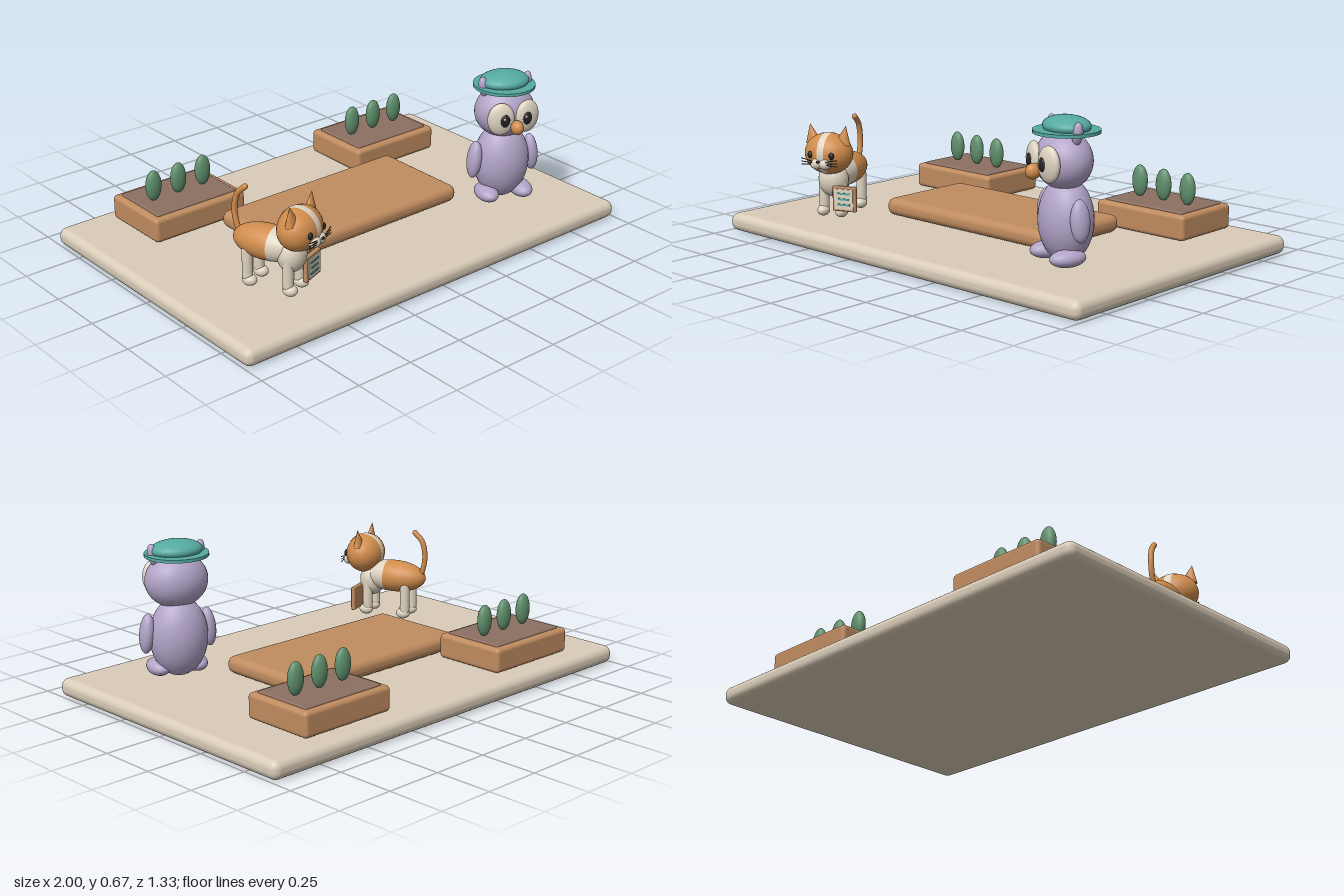
import * as THREE from 'three';
import { RoundedBoxGeometry } from 'three/addons/geometries/RoundedBoxGeometry.js';

const mat = (name, color, side = THREE.FrontSide) => {
  const m = new THREE.MeshStandardMaterial({ color, side });
  m.name = name;
  return m;
};

export function createModel() {
  const stone = mat('stone', 0xd9ccb8);
  const wood = mat('wood', 0xc08c60);
  const soil = mat('soil', 0x8c7062);
  const green = mat('plant green', 0x5f8f6c);
  const lilac = mat('lilac', 0xb2a4c8);
  const cream = mat('cream', 0xded3c0, THREE.DoubleSide);
  const teal = mat('teal', 0x55aaa2);
  const orange = mat('orange', 0xd08c4c);
  const black = mat('black', 0x242226);

  const model = new THREE.Group();
  model.name = 'gardenScene';

  const add = (parent, name, geo, material, pos = [0, 0, 0], rot = [0, 0, 0]) => {
    const m = new THREE.Mesh(geo, material);
    m.name = name;
    m.position.set(...pos);
    m.rotation.set(...rot);
    parent.add(m);
    return m;
  };
  const ball = (parent, name, material, pos, radii, rot) =>
    add(parent, name, new THREE.SphereGeometry(1, 32, 20).scale(...radii), material, pos, rot);
  const block = (parent, name, material, pos, size, r) =>
    add(parent, name, new RoundedBoxGeometry(...size, 4, r), material, pos);
  const group = (name, x, z, turn) => {
    const g = new THREE.Group();
    g.name = name;
    g.position.set(x, 0, z);
    g.rotation.y = turn;
    model.add(g);
    return g;
  };

  // Ground slab and low platform
  block(model, 'groundSlab', stone, [0, 0.039, 0], [2, 0.078, 1.334], 0.034);
  block(model, 'platform', wood, [0, 0.118, 0], [0.935, 0.075, 0.46], 0.033);

  // Planters with three upright plants each
  for (const s of [-1, 1]) {
    const p = group('planter', s * 0.543, -0.42, 0);
    block(p, 'planterBox', wood, [0, 0.137, 0], [0.455, 0.107, 0.33], 0.018);
    block(p, 'soil', soil, [0, 0.185, 0], [0.4, 0.026, 0.275], 0.008);
    for (const i of [-1, 0, 1])
      ball(p, 'plant', green, [i * 0.125, 0.262, 0], [0.037, 0.068, 0.025]);
  }

  // Owl, turned slightly toward the middle
  const owl = group('owl', 0.64, 0.315, -0.35);
  ball(owl, 'owlBody', lilac, [0, 0.262, 0], [0.122, 0.168, 0.106]);
  ball(owl, 'owlHead', lilac, [0, 0.497, 0.012], [0.132, 0.115, 0.108]);
  for (const s of [-1, 1]) {
    ball(owl, 'wing', lilac, [s * 0.132, 0.283, 0.012], [0.031, 0.084, 0.04], [0, 0, s * 0.1]);
    ball(owl, 'owlFoot', lilac, [s * 0.08, 0.13, 0.035], [0.048, 0.035, 0.076]);
    ball(owl, 'earTuft', lilac, [s * 0.098, 0.612, 0.008], [0.022, 0.046, 0.021], [0, 0, -s * 0.2]);
    ball(owl, 'eyeDisc', cream, [s * 0.06, 0.497, 0.108], [0.058, 0.072, 0.027], [0, s * 0.2, 0]);
    ball(owl, 'pupil', black, [s * 0.05, 0.497, 0.131], [0.022, 0.029, 0.012]);
    ball(owl, 'eyeGlint', cream, [s * 0.05 - 0.008, 0.508, 0.142], [0.005, 0.006, 0.003]);
  }
  ball(owl, 'beak', orange, [0, 0.464, 0.143], [0.027, 0.031, 0.032]);

  // Hat
  add(owl, 'hatBrim', new THREE.CylinderGeometry(0.132, 0.132, 0.013, 48), teal, [0, 0.608, 0]);
  ball(owl, 'hatCrown', teal, [0, 0.628, 0], [0.108, 0.04, 0.09]);

  // Cat, turned toward the middle
  const cat = group('cat', -0.622, 0.335, 0.37);
  const bodySize = [0.076, 0.072, 0.15];
  ball(cat, 'catBody', orange, [0, 0.275, -0.025], bodySize);
  const saddle = new THREE.SphereGeometry(1.015, 32, 8, 0, Math.PI * 2, 0.85, 0.5)
    .rotateX(Math.PI / 2).scale(...bodySize);
  add(cat, 'saddleBand', saddle, cream, [0, 0.275, -0.025]);
  ball(cat, 'chest', cream, [0, 0.25, 0.085], [0.066, 0.075, 0.058]);
  for (const sx of [-1, 1]) {
    for (const sz of [-1, 1]) {
      add(cat, 'leg', new THREE.CapsuleGeometry(0.022, 0.115, 6, 16), cream, [sx * 0.043, 0.185, sz * 0.092]);
      ball(cat, 'paw', cream, [sx * 0.043, 0.113, sz * 0.092 + 0.008], [0.026, 0.024, 0.032]);
    }
  }

  // Cat head
  const head = new THREE.Group();
  head.name = 'catHead';
  head.position.set(0, 0.37, 0.122);
  cat.add(head);
  const headSize = [0.107, 0.089, 0.085];
  ball(head, 'skull', orange, [0, 0, 0], headSize);
  const stripe = new THREE.SphereGeometry(1.015, 48, 4, 0, Math.PI * 2, Math.PI / 2 - 0.14, 0.28)
    .rotateZ(Math.PI / 2).scale(...headSize);
  add(head, 'headStripe', stripe, cream);
  ball(head, 'nose', black, [0, -0.02, 0.102], [0.009, 0.006, 0.006]);
  for (const s of [-1, 1]) {
    const ear = new THREE.ConeGeometry(0.036, 0.08, 24).scale(1, 1, 0.6);
    add(head, 'catEar', ear, orange, [s * 0.077, 0.085, 0.005], [0, 0, -s * 0.2]);
    ball(head, 'catEye', black, [s * 0.05, 0.003, 0.075], [0.012, 0.015, 0.009]);
    ball(head, 'muzzle', cream, [s * 0.02, -0.034, 0.075], [0.029, 0.023, 0.024]);
    for (const t of [-1, 0, 1]) {
      const whisker = new THREE.LineCurve3(
        new THREE.Vector3(s * 0.03, -0.026 + t * 0.006, 0.094),
        new THREE.Vector3(s * 0.085, -0.024 + t * 0.014, 0.088));
      add(head, 'whisker', new THREE.TubeGeometry(whisker, 1, 0.002, 6), black);
    }
  }

  // Raised tail
  const tailPath = new THREE.CatmullRomCurve3(
    [[0.25, -0.13], [0.31, -0.16], [0.38, -0.172], [0.45, -0.158], [0.488, -0.122]]
      .map(([y, z]) => new THREE.Vector3(0, y, z)));
  add(cat, 'tail', new THREE.TubeGeometry(tailPath, 32, 0.012, 12), orange);
  ball(cat, 'tailTip', orange, [0, 0.488, -0.122], [0.012, 0.012, 0.012]);

  // Small board with a lined page
  const board = new THREE.Group();
  board.name = 'noteBoard';
  board.position.set(0.075, 0.178, 0.13);
  cat.add(board);
  block(board, 'boardBack', wood, [0, 0, 0], [0.11, 0.108, 0.018], 0.005);
  add(board, 'page', new THREE.BoxGeometry(0.088, 0.088, 0.006), cream, [0, 0, 0.01]);
  [0.06, 0.048, 0.06].forEach((w, i) =>
    add(board, 'pageLine', new THREE.BoxGeometry(w, 0.008, 0.004), teal, [0, 0.024 - i * 0.024, 0.0135]));

  return model;
}
